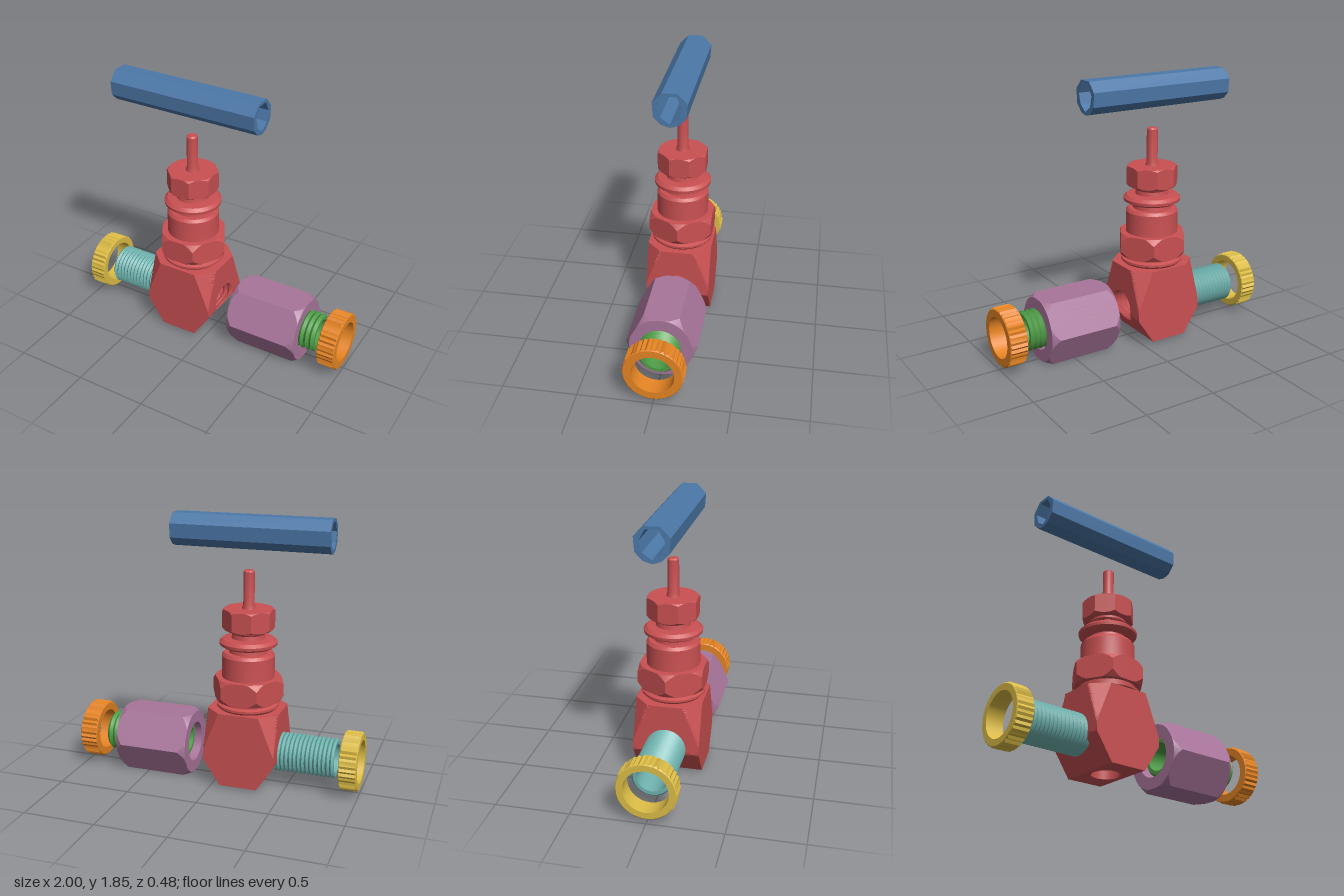
import * as THREE from 'three';
import { toCreasedNormals } from 'three/addons/utils/BufferGeometryUtils.js';

const mat = (name, color) => {
  const m = new THREE.MeshStandardMaterial({ color, side: THREE.DoubleSide });
  m.name = name;
  return m;
};
const AXIS_Y = 0.235; // height of the flow axis
const TAU = Math.PI * 2;

// quad grid from a point function, u then v counter-clockwise
function grid(nu, nv, fn) {
  const pos = [], idx = [];
  for (let u = 0; u <= nu; u++) for (let v = 0; v <= nv; v++) pos.push(...fn(u, v));
  const at = (u, v) => u * (nv + 1) + v;
  for (let u = 0; u < nu; u++) for (let v = 0; v < nv; v++) {
    idx.push(at(u, v), at(u + 1, v), at(u + 1, v + 1), at(u, v), at(u + 1, v + 1), at(u, v + 1));
  }
  const g = new THREE.BufferGeometry();
  g.setAttribute('position', new THREE.Float32BufferAttribute(pos, 3));
  g.setIndex(idx);
  return g;
}

// prism along y with any outline, conical end chamfers and a bore
function prism(len, samples, radius, rEnd, bore, slope = 0.6) {
  return grid(samples, 6, (u, v) => {
    const a = (u / samples) * TAU, r = radius(a, u % samples);
    const e = Math.min(r, rEnd), c = (r - e) * slope;
    const [p, y] = [[bore, 0], [e, 0], [r, c], [r, len - c], [e, len], [bore, len], [bore, 0]][v];
    return [p * Math.sin(a), y, p * Math.cos(a)];
  });
}

// radius of a regular polygon with one corner at angle a0
const polygon = (sides, apothem, a0) => (a) => {
  const step = TAU / sides;
  const t = (((a - a0) % step) + step) % step;
  return apothem / Math.cos(t - step / 2);
};

const lathe = (pts, seg = 48) => new THREE.LatheGeometry(pts.map(p => new THREE.Vector2(...p)), seg);

// hollow pipe along y with thread ridges outside
function threadedPipe(len, turns, r, depth, bore) {
  const pts = [[bore, 0]];
  for (let i = 0; i <= turns * 2; i++) {
    pts.push([r - (i % 2 ? 0 : depth), (i / (turns * 2)) * len]);
  }
  pts.push([bore, len], [bore, 0]);
  return lathe(pts, 40);
}

const shape = pts => new THREE.Shape(pts.map(p => new THREE.Vector2(...p)));
const mirrored = half => [...half, ...half.slice().reverse().map(([a, b]) => [-a, b])];
function circleHole(x, y, r) {
  const p = new THREE.Path();
  p.absarc(x, y, r, 0, TAU, true);
  return p;
}

export function createModel() {
  const red = mat('valveRed', 0xc95052), blue = mat('handleBlue', 0x4c78a8);
  const purple = mat('nutPurple', 0xa9759b), green = mat('sleeveGreen', 0x4f9d47);
  const teal = mat('pipeTeal', 0x6fb3af), orange = mat('ringOrange', 0xe58424);
  const yellow = mat('ringYellow', 0xdcbc46);

  const model = new THREE.Group();
  model.name = 'needleValve';
  const add = (parent, name, geo, material, x = 0, y = 0, z = 0) => {
    const m = new THREE.Mesh(toCreasedNormals(geo, 0.45), material);
    m.name = name;
    m.position.set(x, y, z);
    parent.add(m);
    return m;
  };
  const alongX = geo => geo.rotateZ(-Math.PI / 2);

  const valve = new THREE.Group();
  valve.name = 'valve';
  valve.position.x = -0.2;
  model.add(valve);

  // valve block: port sides with cut corners and a threaded bore
  const D = 0.225, Y0 = 0.02, Y1 = 0.54, PER = 24, WALL = 8, FLAT = 24, R = 0.115;
  const corners = [[-D, Y0], [D, Y0], [D, Y1], [-D, Y1]];
  const sideX = (y, z) => {
    const t = (Math.abs(z) - 0.12) / 0.105 - (Y1 - y) / 0.28;
    return Math.min(0.25, 0.13 + (y - Y0) * (0.12 / 0.18), 0.25 - 0.11 * t);
  };
  const side = () => grid(WALL + FLAT, PER * 4, (u, v) => {
    const k = Math.floor(v / PER) % 4, f = (v % PER) / PER;
    const a = corners[k], b = corners[(k + 1) % 4];
    const s = a[0] + (b[0] - a[0]) * f, y = a[1] + (b[1] - a[1]) * f;
    const ang = Math.atan2(y - AXIS_Y, s);
    const r = u < WALL && u % 2 ? R - 0.012 : R;
    const hs = Math.cos(ang) * r, hy = AXIS_Y + Math.sin(ang) * r;
    if (u < WALL) return [0.1 + (sideX(hy, hs) - 0.1) * (u / WALL), hy, -hs];
    const q = (u - WALL) / FLAT;
    const ps = hs + (s - hs) * q, py = hy + (y - hy) * q;
    return [sideX(py, ps), py, -ps];
  });
  const seat = new THREE.Shape();
  seat.absarc(0, 0, R, 0, TAU);
  seat.holes.push(circleHole(0, 0.027, 0.07));
  const front = shape(mirrored([[0.13, 0.02], [0.25, 0.2], [0.25, 0.26], [0.14, 0.54]]));
  for (const turn of [0, Math.PI]) {
    add(valve, 'blockPortSide', side().rotateY(turn), red);
    add(valve, 'boreSeat', new THREE.ShapeGeometry(seat, 24)
      .rotateY(Math.PI / 2).translate(0.1, AXIS_Y, 0).rotateY(turn), red);
    add(valve, 'blockFace', new THREE.ShapeGeometry(front).translate(0, 0, D).rotateY(turn), red);
  }
  add(valve, 'flowPassage', alongX(new THREE.CylinderGeometry(0.07, 0.07, 0.2, 32, 1, true)),
    red, 0, AXIS_Y + 0.027);
  const top = shape(mirrored([[0.14, -D], [0.25, -0.12], [0.25, 0.12], [0.14, D]]));
  add(valve, 'blockTop', new THREE.ShapeGeometry(top).rotateX(-Math.PI / 2), red, 0, Y1);
  const base = shape(mirrored([[0.13, -D], [0.13, D]]));
  base.holes.push(circleHole(0, 0, 0.095));
  add(valve, 'blockBottom', new THREE.ShapeGeometry(base, 24).rotateX(Math.PI / 2), red, 0, Y0);
  add(valve, 'bottomPort', lathe([[0.095, Y0], [0.095, 0.11], [0, 0.11]], 32), red);

  // bonnet and stem
  add(valve, 'bonnet', lathe([
    [0.2, 0.54], [0.215, 0.555], [0.215, 0.57], [0.19, 0.58], [0.19, 0.62], [0.18, 0.7],
    [0.18, 0.91], [0.165, 0.93], [0.13, 0.93], [0.125, 0.965], [0.17, 0.97], [0.195, 0.985],
    [0.197, 1.005], [0.175, 1.025], [0.115, 1.03], [0.11, 1.06], [0.12, 1.075], [0.12, 1.1], [0, 1.1],
  ]), red);
  add(valve, 'bonnetNut', prism(0.16, 48, polygon(6, 0.218, Math.PI / 6), 0.225, 0.03, 1.6), red, 0, 0.6);
  add(valve, 'glandNut', prism(0.14, 48, polygon(8, 0.165, Math.PI / 8), 0.166, 0.03, 1), red, 0, 1.09);
  add(valve, 'stem', lathe([[0.05, 1.22], [0.038, 1.26], [0.038, 1.48], [0.03, 1.49], [0, 1.49]], 24), red);

  // hollow faceted handle bar
  const bar = shape(mirrored([[0.05, 0.11], [0.112, 0.045], [0.105, -0.05], [0.055, -0.1], [0.005, -0.115]]));
  bar.holes.push(new THREE.Path(mirrored([[0.04, 0.09], [0.08, 0.02], [0.06, -0.05], [0.005, -0.09]])
    .map(p => new THREE.Vector2(...p))));
  add(model, 'handleBar', new THREE.ExtrudeGeometry(bar, { depth: 1.08, bevelEnabled: false })
    .rotateY(Math.PI / 2), blue, -0.76, 1.743);

  // threaded pipe, sleeve and union nut on the flow axis
  add(model, 'inletPipe', alongX(threadedPipe(0.43, 15, 0.137, 0.013, 0.1)), teal, -0.835, AXIS_Y);
  add(model, 'outletSleeve', alongX(threadedPipe(0.58, 15, 0.137, 0.016, 0.097)), green, 0.24, AXIS_Y);
  add(model, 'unionNut', alongX(prism(0.52, 48, polygon(6, 0.218, 0), 0.222, 0.14, 1.6))
    .scale(1, 1, 0.95), purple, 0.19, 0.222);

  // ribbed end rings
  const ribs = (a, i) => 0.2 - (i % 2) * 0.009 + 0.003 * Math.sin(i * 2.3);
  add(model, 'inletRing', alongX(prism(0.12, 72, ribs, 0.19, 0.148, 0.8)), yellow, -1, 0.232);
  add(model, 'outletRing', alongX(prism(0.125, 72, ribs, 0.19, 0.14, 0.8)), orange, 0.873, 0.232);

  return model;
}
